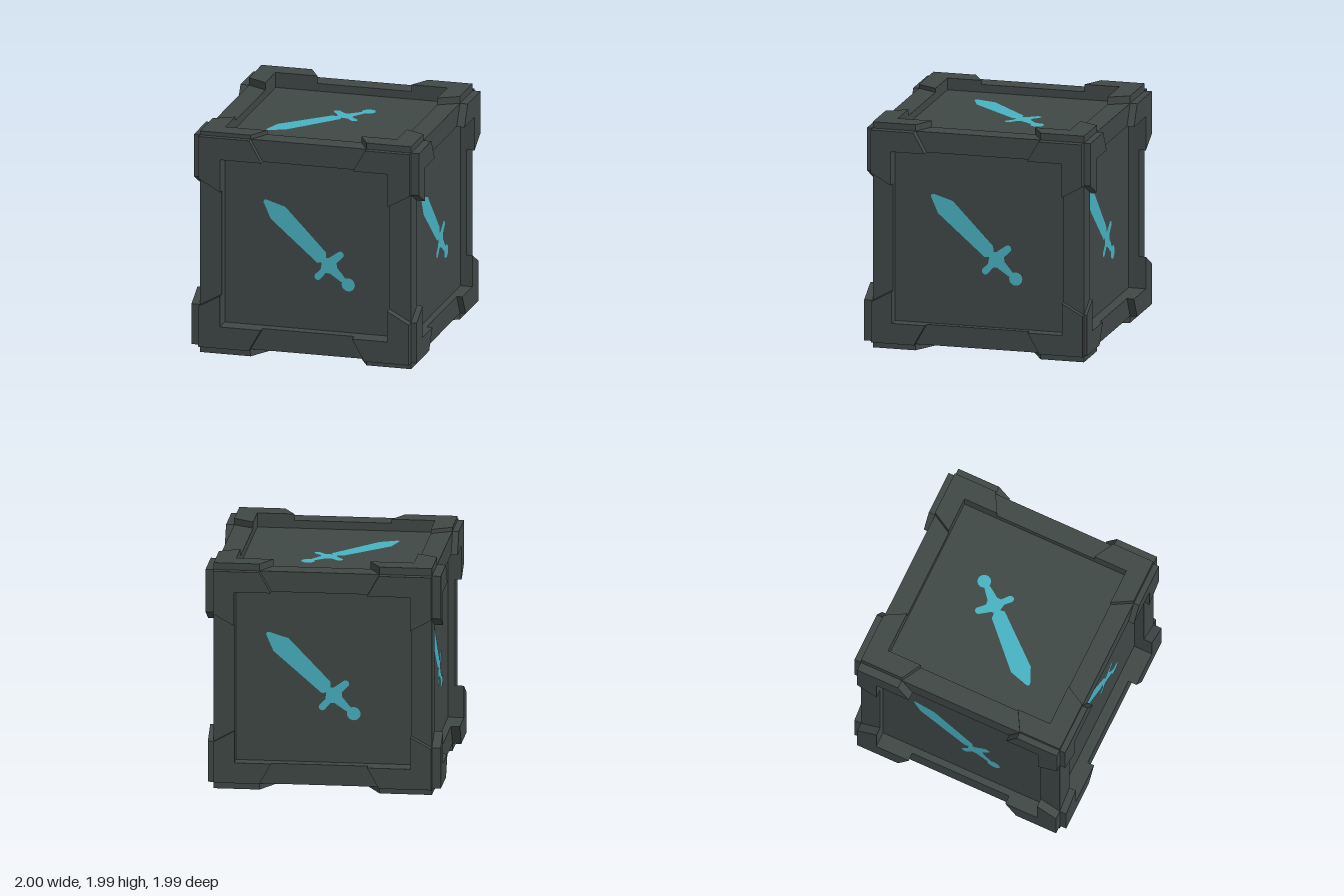
import * as THREE from 'three';

const OUT = 0.928;

// Where the corner plates end on the outer edge, along each axis, and how they widen inward
const CUTS = { x: { neg: 0.483, pos: 0.537 }, y: { neg: 0.572, pos: 0.556 }, z: { neg: 0.547, pos: 0.553 } };
const SLANT = 0.56;

// Each side: its right (u) and up (v) directions, half size of the opening, panel
// distance from the centre, plate thicknesses (lower left, lower right, upper left,
// upper right), emblem turn and shift
const SIDES = [
  { name: 'front', u: [1, 0, 0], v: [0, 1, 0], hole: 0.737, panel: 0.838, lift: [0.06, 0.075, 0.05, 0.05], turn: 0, shift: [-0.003, 0.008] },
  { name: 'left', u: [0, 0, -1], v: [0, 1, 0], hole: 0.75, panel: 0.872, lift: [0.05, 0.05, 0.069, 0.069], turn: 0, shift: [-0.04, 0.008] },
  { name: 'back', u: [-1, 0, 0], v: [0, 1, 0], hole: 0.75, panel: 0.838, lift: [0.025, 0.062, 0.058, 0.062], turn: 0, shift: [-0.1, 0.004] },
  { name: 'right', u: [0, 0, 1], v: [0, 1, 0], hole: 0.75, panel: 0.868, lift: [0.075, 0.075, 0.075, 0.055], turn: 0, shift: [-0.07, 0.008] },
  { name: 'top', u: [1, 0, 0], v: [0, 0, -1], hole: 0.755, panel: 0.86, lift: [0.035, 0.055, 0.065, 0.06], turn: Math.PI / 2, shift: [-0.125, -0.045] },
  { name: 'bottom', u: [1, 0, 0], v: [0, 0, 1], hole: 0.7, panel: 0.84, lift: [0.057, 0.055, 0.064, 0.055], turn: -Math.PI / 2, shift: [-0.06, 0.105] },
];

// Sword outline, from the tip clockwise round blade, guard and grip
const SWORD = [
  [-0.393, 0.35], [-0.385, 0.368], [-0.365, 0.37], [-0.2, 0.32], [0.155, -0.05], [0.157, -0.1], [0.185, -0.097],
  [0.264, -0.041], [0.304, -0.086], [0.25, -0.14], [0.255, -0.18], [0.325, -0.265], [0.353, -0.322],
  [0.285, -0.3], [0.19, -0.235], [0.155, -0.235], [0.107, -0.292], [0.064, -0.25], [0.11, -0.205],
  [0.12, -0.145], [0.08, -0.15], [-0.33, 0.205],
];

// Rounded pommel and guard ends: x, y, radius
const KNOBS = [[0.353, -0.322, 0.058], [0.284, -0.064, 0.03], [0.085, -0.271, 0.03]];

const shapeOf = (pts) => new THREE.Shape(pts.map(([x, y]) => new THREE.Vector2(x, y)));
const square = (r) => [[-r, -r], [r, -r], [r, r], [-r, r]];
const extrude = (shape, depth) => new THREE.ExtrudeGeometry(shape, { depth, bevelEnabled: false });

// Plate end distance along a direction such as [0, 0, -1], times a sign
function cutFor(dir, sign) {
  const i = dir.findIndex((c) => c !== 0);
  return CUTS['xyz'[i]][dir[i] * sign > 0 ? 'pos' : 'neg'];
}

// L-shaped plate with slanted ends, on one corner of a side
function plateOutline(side, su, sv) {
  const h = side.hole, widen = SLANT * (OUT - h);
  const uc = cutFor(side.u, su), vc = cutFor(side.v, sv);
  return [[OUT, OUT], [uc, OUT], [uc - widen, h], [h, h], [h, vc - widen], [OUT, vc]].map(([a, b]) => [a * su, b * sv]);
}

export function createModel() {
  const stone = new THREE.MeshStandardMaterial({ color: 0x404846 });
  stone.name = 'darkStone';
  const teal = new THREE.MeshStandardMaterial({ color: 0x48b2c2 });
  teal.name = 'tealEmblem';

  const root = new THREE.Group();
  root.name = 'crate';
  const crate = new THREE.Group();
  crate.name = 'crateBody';
  crate.position.set(0.003, 0.992, -0.003);
  root.add(crate);

  const add = (parent, name, geometry, material, x = 0, y = 0, z = 0) => {
    const mesh = new THREE.Mesh(geometry, material);
    mesh.name = name;
    mesh.position.set(x, y, z);
    parent.add(mesh);
  };

  for (const side of SIDES) {
    const u = new THREE.Vector3(...side.u), v = new THREE.Vector3(...side.v);
    const face = new THREE.Group();
    face.name = side.name + 'Side';
    face.quaternion.setFromRotationMatrix(new THREE.Matrix4().makeBasis(u, v, u.clone().cross(v)));
    crate.add(face);

    // Recessed panel inside a square frame
    add(face, 'panel', new THREE.PlaneGeometry(side.hole * 2, side.hole * 2), stone, 0, 0, side.panel);
    const ring = shapeOf(square(OUT));
    ring.holes.push(shapeOf(square(side.hole)));
    add(face, 'frame', extrude(ring, OUT - side.panel), stone, 0, 0, side.panel);

    // Raised corner plates
    [[-1, -1], [1, -1], [-1, 1], [1, 1]].forEach(([su, sv], i) => {
      add(face, 'cornerPlate', extrude(shapeOf(plateOutline(side, su, sv)), side.lift[i]), stone, 0, 0, OUT);
    });

    // Flat sword emblem
    const sword = new THREE.Group();
    sword.name = 'swordEmblem';
    sword.rotation.z = side.turn;
    sword.position.set(side.shift[0], side.shift[1], side.panel + 0.003);
    face.add(sword);
    add(sword, 'blade', new THREE.ShapeGeometry(shapeOf(SWORD)), teal);
    for (const [x, y, r] of KNOBS) add(sword, 'knob', new THREE.CircleGeometry(r, 20), teal, x, y);
  }
  return root;
}
